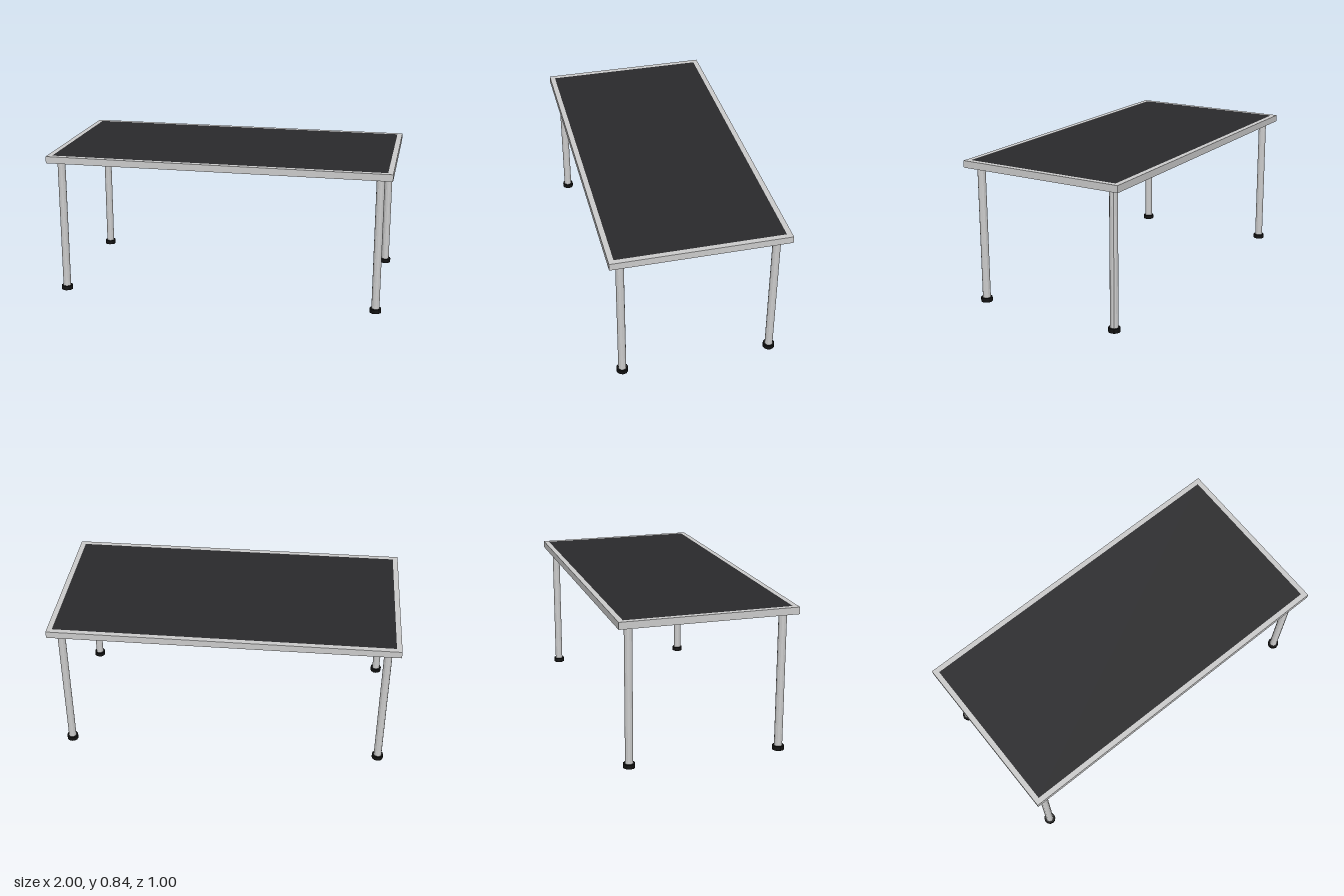
import * as THREE from 'three';

const TOP = 0.84, UNDER = 0.8, BORDER = 0.03, FOOT_H = 0.025;

// Rectangle outline centred on the origin
function rect(Type, w, d) {
  return new Type([
    new THREE.Vector2(-w / 2, -d / 2), new THREE.Vector2(w / 2, -d / 2),
    new THREE.Vector2(w / 2, d / 2), new THREE.Vector2(-w / 2, d / 2),
  ]);
}

export function createModel() {
  const table = new THREE.Group();
  table.name = 'table';

  const metal = new THREE.MeshStandardMaterial({ color: 0xcccccc, flatShading: true });
  const panel = new THREE.MeshStandardMaterial({ color: 0x2a2a2c });
  const rubber = new THREE.MeshStandardMaterial({ color: 0x111111, flatShading: true });

  function add(parent, name, geometry, material, y) {
    const mesh = new THREE.Mesh(geometry, material);
    mesh.name = name;
    mesh.position.y = y;
    parent.add(mesh);
  }

  // Metal frame around the top
  const outline = rect(THREE.Shape, 2, 1);
  outline.holes.push(rect(THREE.Path, 2 - 2 * BORDER, 1 - 2 * BORDER));
  const frame = new THREE.ExtrudeGeometry(outline, { depth: TOP - UNDER, bevelEnabled: false });
  frame.rotateX(-Math.PI / 2);
  add(table, 'tableFrame', frame, metal, UNDER);

  // Dark panel set flush in the frame
  const slab = new THREE.BoxGeometry(2 - 2 * BORDER, TOP - UNDER, 1 - 2 * BORDER);
  add(table, 'tabletopPanel', slab, panel, (TOP + UNDER) / 2);

  // Four tubular legs with rubber feet
  const legH = UNDER - FOOT_H;
  const legGeometry = new THREE.CylinderGeometry(0.023, 0.023, legH, 12);
  const footGeometry = new THREE.CylinderGeometry(0.0335, 0.0335, FOOT_H, 12);
  for (const [sx, side] of [[1, 'Left'], [-1, 'Right']]) {
    for (const [sz, end] of [[1, 'front'], [-1, 'back']]) {
      const leg = new THREE.Group();
      leg.name = `${end}${side}Leg`;
      leg.position.set(sx * 0.93, 0, sz * 0.432);
      add(leg, 'legTube', legGeometry, metal, FOOT_H + legH / 2);
      add(leg, 'foot', footGeometry, rubber, FOOT_H / 2);
      table.add(leg);
    }
  }

  return table;
}
